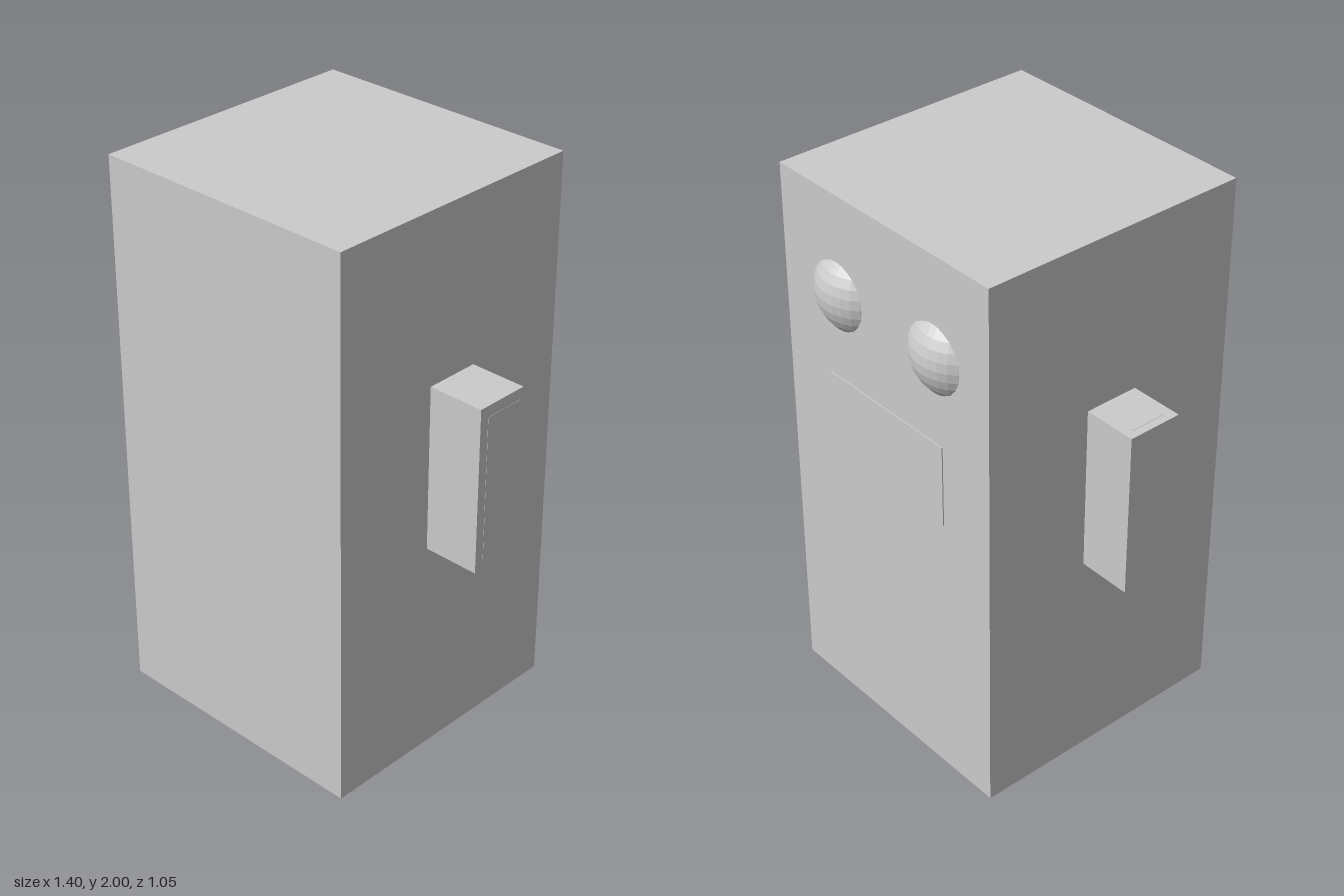
import * as THREE from 'three';

export function createModel() {
  const model = new THREE.Group();
  const material = new THREE.MeshStandardMaterial({ color: 0xcccccc, flatShading: true });

  // Box given by its low and high corners
  function addBox(name, [x0, y0, z0], [x1, y1, z1]) {
    const mesh = new THREE.Mesh(new THREE.BoxGeometry(x1 - x0, y1 - y0, z1 - z0), material);
    mesh.position.set((x0 + x1) / 2, (y0 + y1) / 2, (z0 + z1) / 2);
    mesh.name = name;
    model.add(mesh);
  }

  // Tall square body
  addBox('body', [-0.505, 0, -0.475], [0.495, 2, 0.525]);

  // Stubby arms with almost flush inset panels
  addBox('leftArm', [0.495, 0.8, -0.075], [0.7, 1.4, 0.125]);
  addBox('rightArm', [-0.7, 0.8, -0.075], [-0.505, 1.4, 0.125]);
  addBox('leftArmPanel', [0.69, 0.84, -0.06], [0.701, 1.36, 0.09]);
  addBox('rightArmPanel', [-0.67, 1.39, -0.045], [-0.535, 1.401, 0.09]);

  // Thin mouth plate on the face
  addBox('mouth', [-0.285, 1.03, -0.479], [0.28, 1.33, -0.46]);

  // Eyes: spheres sunk into the face
  for (const [name, x] of [['leftEye', 0.223], ['rightEye', -0.248]]) {
    const eye = new THREE.Mesh(new THREE.SphereGeometry(0.168, 32, 16), material);
    eye.position.set(x, 1.638, -0.36);
    eye.name = name;
    model.add(eye);
  }

  return model;
}
